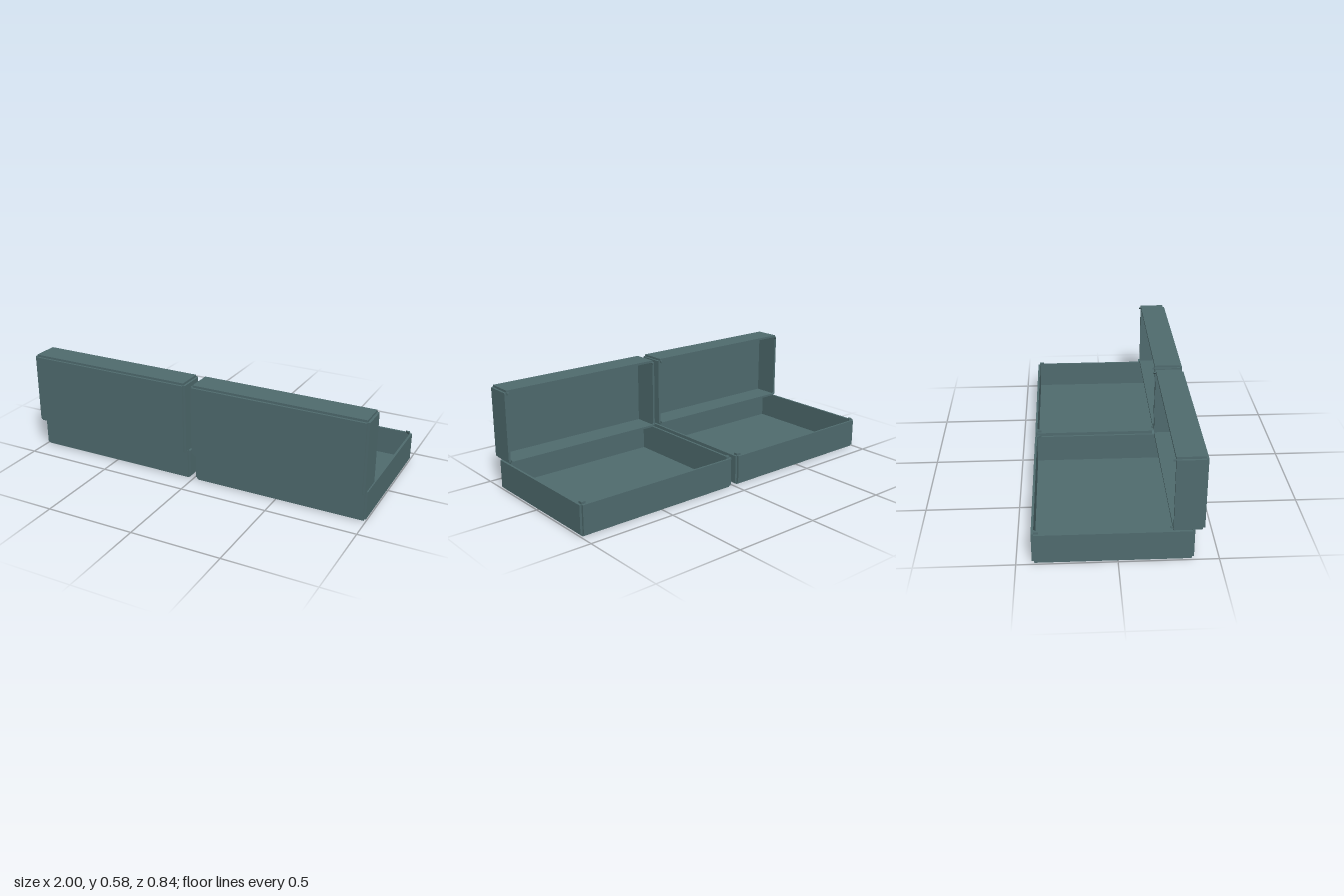
import * as THREE from 'three';

const T = 0.012; // panel thickness

export function createModel() {
  const model = new THREE.Group();
  const teal = new THREE.MeshStandardMaterial({ color: 0x4f6b6e });
  teal.name = 'slate teal';

  // box given by its two extreme corners
  function panel(parent, name, x0, x1, y0, y1, z0, z1) {
    const mesh = new THREE.Mesh(new THREE.BoxGeometry(x1 - x0, y1 - y0, z1 - z0), teal);
    mesh.position.set((x0 + x1) / 2, (y0 + y1) / 2, (z0 + z1) / 2);
    mesh.name = name;
    parent.add(mesh);
  }

  // triangular corner tab, right angle at the origin, legs along sx and sy
  function cornerTab(parent, name, sx, sy, size) {
    const pts = [[0, 0], [sx * size, 0], [0, sy * size]].map(p => new THREE.Vector2(...p));
    const geo = new THREE.ExtrudeGeometry(new THREE.Shape(pts), { depth: T, bevelEnabled: false });
    const mesh = new THREE.Mesh(geo, teal);
    mesh.name = name;
    parent.add(mesh);
    return mesh;
  }

  const X0 = 0.016, X1 = 1, xi0 = X0 + T, xi1 = X1 - T;

  for (const side of [1, -1]) {
    const box = new THREE.Group();
    box.name = side > 0 ? 'leftBox' : 'rightBox';
    // both boxes are symmetric, so the second is a shifted copy
    box.position.x = side > 0 ? 0 : -(X0 + X1);
    model.add(box);

    // open base tray
    const base = new THREE.Group();
    base.name = 'baseTray';
    box.add(base);
    const zb = -0.41, zf = 0.363, h = 0.168;
    panel(base, 'baseFloor', xi0, xi1, 0, T, zb, zf);
    panel(base, 'baseFrontWall', xi0, xi1, T, h, zf, zf + T);
    panel(base, 'baseBackWall', xi0, xi1, T, h, zb - T, zb);
    panel(base, 'baseInnerSideWall', X0, xi0, T, h, zb, zf);
    panel(base, 'baseOuterSideWall', xi1, X1, T, h, zb, zf);
    for (const [x, s] of [[xi0, 1], [xi1, -1]]) {
      const tab = cornerTab(base, 'baseCornerTab', s, -1, 0.024);
      tab.rotation.x = -Math.PI / 2;
      tab.position.set(x, h, zb);
    }

    // lid standing upright, open towards the back
    const lid = new THREE.Group();
    lid.name = 'lid';
    box.add(lid);
    const y0 = 0.181, y1 = 0.567, l0 = 0.267, l1 = 0.41;
    panel(lid, 'lidFace', xi0, xi1, y0, y1, l1, l1 + T);
    panel(lid, 'lidTopWall', xi0, xi1, y1, y1 + T, l0, l1);
    panel(lid, 'lidBottomWall', xi0, xi1, y0 - T, y0, l0, l1);
    panel(lid, 'lidInnerSideWall', X0, xi0, y0, y1, l0, l1);
    panel(lid, 'lidOuterSideWall', xi1, X1, y0, y1, l0, l1);
    for (const [x, sx] of [[xi0, 1], [xi1, -1]]) {
      for (const [y, sy] of [[y0, 1], [y1, -1]]) {
        cornerTab(lid, 'lidCornerTab', sx, sy, T).position.set(x, y, l0 - T);
      }
    }
  }
  return model;
}
